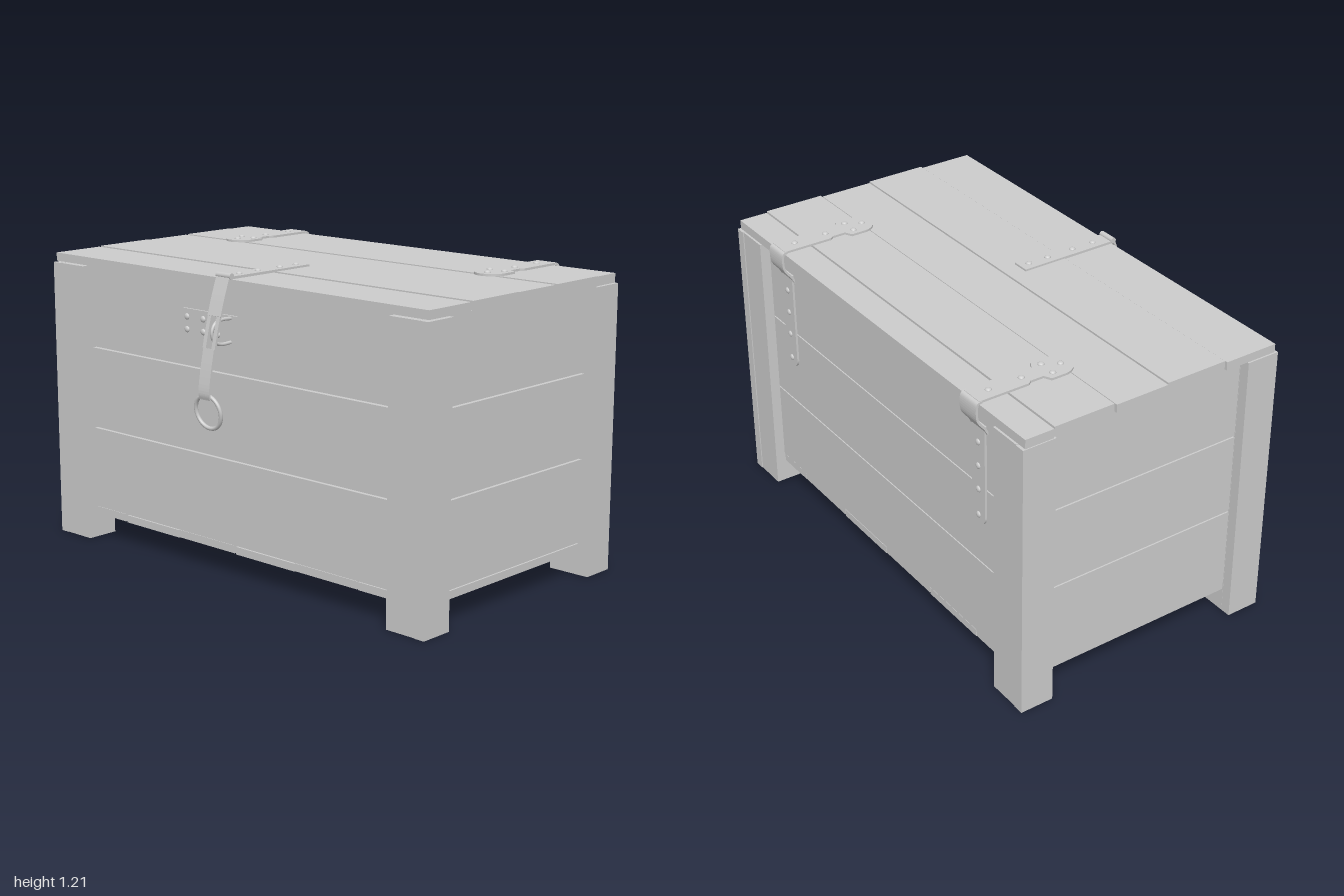
import * as THREE from 'three';

export function createModel() {
  const chest = new THREE.Group();
  chest.name = 'chest';
  const gray = new THREE.MeshStandardMaterial({ color: 0xcccccc });
  gray.name = 'plainGray';

  function add(name, geometry, parent = chest) {
    const mesh = new THREE.Mesh(geometry, gray);
    mesh.name = name;
    parent.add(mesh);
    return mesh;
  }

  // Box given by its minimum and maximum corners
  function board(name, x0, x1, y0, y1, z0, z1, parent = chest) {
    const mesh = add(name, new THREE.BoxGeometry(x1 - x0, y1 - y0, z1 - z0), parent);
    mesh.position.set((x0 + x1) / 2, (y0 + y1) / 2, (z0 + z1) / 2);
    return mesh;
  }

  // Bent metal strip: follows [z, y] points, with its thickness laid to one side
  function strip(name, points, width, thick, x, parent) {
    const curve = new THREE.CatmullRomCurve3(points.map(([z, y]) => new THREE.Vector3(z, y, 0)));
    const near = [], far = [];
    const n = points.length * 5;
    for (let i = 0; i <= n; i++) {
      const p = curve.getPoint(i / n), t = curve.getTangent(i / n);
      near.push(new THREE.Vector2(p.x, p.y));
      far.unshift(new THREE.Vector2(p.x - t.y * thick, p.y + t.x * thick));
    }
    const geometry = new THREE.ExtrudeGeometry(new THREE.Shape([...near, ...far]), { depth: width, bevelEnabled: false });
    geometry.rotateY(-Math.PI / 2).translate(x + width / 2, 0, 0);
    return add(name, geometry, parent);
  }

  // Domed rivet pointing along the given axis ('top', 'front' or 'back')
  function rivet(x, y, z, facing, parent) {
    const geometry = new THREE.SphereGeometry(0.013, 12, 5, 0, Math.PI * 2, 0, Math.PI / 2).scale(1, 0.6, 1);
    const mesh = add('rivet', geometry, parent);
    mesh.position.set(x, y, z);
    mesh.rotation.x = { top: 0, front: Math.PI / 2, back: -Math.PI / 2 }[facing];
  }

  // Hollow corner posts, each made of four boards
  const postHeight = 1.148;
  for (const side of [-1, 1]) {
    for (const [outer, inner] of [[0.515, 0.375], [-0.62, -0.48]]) {
      const post = new THREE.Group();
      post.name = 'cornerPost';
      chest.add(post);
      const d = Math.sign(outer);
      const piece = (name, xa, xb, za, zb, h) => board(name, Math.min(side * xa, side * xb),
        Math.max(side * xa, side * xb), 0, h, Math.min(za, zb), Math.max(za, zb), post);
      piece('postSideBoard', 0.958, 1, outer, inner, postHeight);
      piece('postFaceBoard', 0.82, 0.955, outer - d * 0.003, outer - d * 0.045, postHeight);
      piece('postInnerBoard', 0.82, 0.86, outer - d * 0.045, inner, postHeight - 0.01);
      piece('postBackBoard', 0.86, 0.957, inner + d * 0.04, inner, postHeight - 0.01);
    }
  }

  // Three planks on each of the four walls
  for (const [y0, y1] of [[0.133, 0.469], [0.475, 0.808], [0.814, 1.145]]) {
    board('frontPlank', -0.9, 0.9, y0, y1, 0.43, 0.47);
    board('backPlank', -0.9, 0.9, y0, y1, -0.575, -0.535);
    board('rightPlank', -0.955, -0.915, y0, y1, -0.535, 0.43);
    board('leftPlank', 0.915, 0.955, y0, y1, -0.535, 0.43);
  }

  // Floor planks with slightly uneven heights
  const floorEdges = [-0.955, -0.64, -0.32, 0, 0.32, 0.64, 0.955];
  const floorDrop = [0, 0.004, 0, 0.005, 0.001, 0.003];
  floorDrop.forEach((drop, i) => board('floorPlank', floorEdges[i] + 0.002, floorEdges[i + 1] - 0.002,
    0.1 - drop, 0.131 - drop, -0.572, 0.468 - drop));

  // Lid planks: front edge, back edge, bottom, top
  const lid = new THREE.Group();
  lid.name = 'lid';
  chest.add(lid);
  [[0.5, 0.272, 1.152, 1.186], [0.267, 0.008, 1.156, 1.19], [0.003, -0.224, 1.153, 1.187],
    [-0.23, -0.484, 1.15, 1.19], [-0.49, -0.61, 1.15, 1.187]].forEach(([front, back, y0, y1], i) => {
    const shift = i % 2 ? 0.003 : -0.003;
    board('lidPlank', -0.995 + shift, 0.995 + shift, y0, y1, back, front, lid);
  });

  // Strap hinges: top leaf with a rounded lobe, wrapped knuckle and back leaf
  for (const x of [-0.68, 0.67]) {
    const hinge = new THREE.Group();
    hinge.name = 'hinge';
    hinge.position.x = x;
    chest.add(hinge);
    const r = 0.066;
    const leaf = new THREE.Shape();
    leaf.moveTo(-0.047, 0.61);
    leaf.lineTo(-0.047, 0.4).lineTo(-0.036, 0.385).lineTo(-0.036, 0.33).lineTo(-r, 0.315).lineTo(-r, 0.255);
    leaf.absarc(0, 0.255, r, Math.PI, Math.PI * 2, false);
    leaf.lineTo(r, 0.315).lineTo(0.036, 0.33).lineTo(0.036, 0.385).lineTo(0.047, 0.4).lineTo(0.047, 0.61);
    add('hingeTopLeaf', new THREE.ExtrudeGeometry(leaf, { depth: 0.009, bevelEnabled: false, curveSegments: 10 })
      .rotateX(-Math.PI / 2).translate(0, 1.19, 0), hinge);
    strip('hingeKnuckle', [[-0.6, 1.199], [-0.618, 1.194], [-0.625, 1.18], [-0.622, 1.12], [-0.59, 1.075], [-0.577, 1.05]],
      0.1, 0.009, 0, hinge);
    const tail = new THREE.Shape();
    tail.moveTo(0.04, 1.08);
    tail.lineTo(-0.04, 1.08).lineTo(-0.04, 0.69);
    tail.absarc(0, 0.69, 0.04, Math.PI, Math.PI * 2, false);
    add('hingeBackLeaf', new THREE.ExtrudeGeometry(tail, { depth: 0.009, bevelEnabled: false })
      .translate(0, 0, -0.584), hinge);
    for (const [rx, rz] of [[0, -0.54], [0, -0.4], [-0.035, -0.29], [0.035, -0.29], [0, -0.23]])
      rivet(rx, 1.199, rz, 'top', hinge);
    for (const y of [1.0, 0.9, 0.8, 0.69]) rivet(0, y, -0.584, 'back', hinge);
  }

  // Hasp: lid strap, pivot and hanging strap with a slot
  const hasp = new THREE.Group();
  hasp.name = 'hasp';
  chest.add(hasp);
  board('haspLidStrap', -0.036, 0.036, 1.188, 1.198, 0.08, 0.5, hasp);
  for (const z of [0.12, 0.21, 0.33, 0.43]) rivet(0, 1.198, z, 'top', hasp);
  const pivot = add('haspPivot', new THREE.CylinderGeometry(0.012, 0.012, 0.076, 12).rotateZ(Math.PI / 2), hasp);
  pivot.position.set(0, 1.199, 0.506);
  strip('haspUpperStrap', [[0.508, 1.195], [0.535, 1.12], [0.557, 1.05]], 0.07, 0.008, 0, hasp);
  for (const side of [-1, 1])
    strip('haspSlotRail', [[0.557, 1.05], [0.573, 0.99], [0.587, 0.93]], 0.018, 0.008, side * 0.024, hasp);
  strip('haspLowerStrap', [[0.587, 0.93], [0.605, 0.84], [0.615, 0.76], [0.61, 0.74]], 0.058, 0.008, 0, hasp);

  // Pull ring hanging from the hasp
  const ring = add('pullRing', new THREE.TorusGeometry(0.067, 0.008, 10, 36), hasp);
  ring.position.set(0, 0.689, 0.6);
  ring.rotation.x = 0.15;

  // Staple plate with its loop
  const plate = new THREE.Shape();
  const c = 0.022;
  plate.moveTo(0.035, 0.932);
  plate.lineTo(0.035, 1.042).lineTo(-0.283 + c, 1.042);
  plate.quadraticCurveTo(-0.283, 1.042, -0.283, 1.042 - c);
  plate.lineTo(-0.283, 0.932 + c);
  plate.quadraticCurveTo(-0.283, 0.932, -0.283 + c, 0.932);
  add('staplePlate', new THREE.ExtrudeGeometry(plate, { depth: 0.009, bevelEnabled: false }).translate(0, 0, 0.47));
  for (const x of [-0.24, -0.15, -0.07]) for (const y of [0.96, 1.01]) rivet(x, y, 0.479, 'front', chest);
  const loop = [[0.47, 1.032], [0.535, 1.032], [0.564, 1.018], [0.577, 0.986], [0.564, 0.954], [0.535, 0.94], [0.47, 0.94]];
  const loopCurve = new THREE.CatmullRomCurve3(loop.map(([z, y]) => new THREE.Vector3(0, y, z)));
  add('stapleLoop', new THREE.TubeGeometry(loopCurve, 32, 0.007, 8));

  return chest;
}
